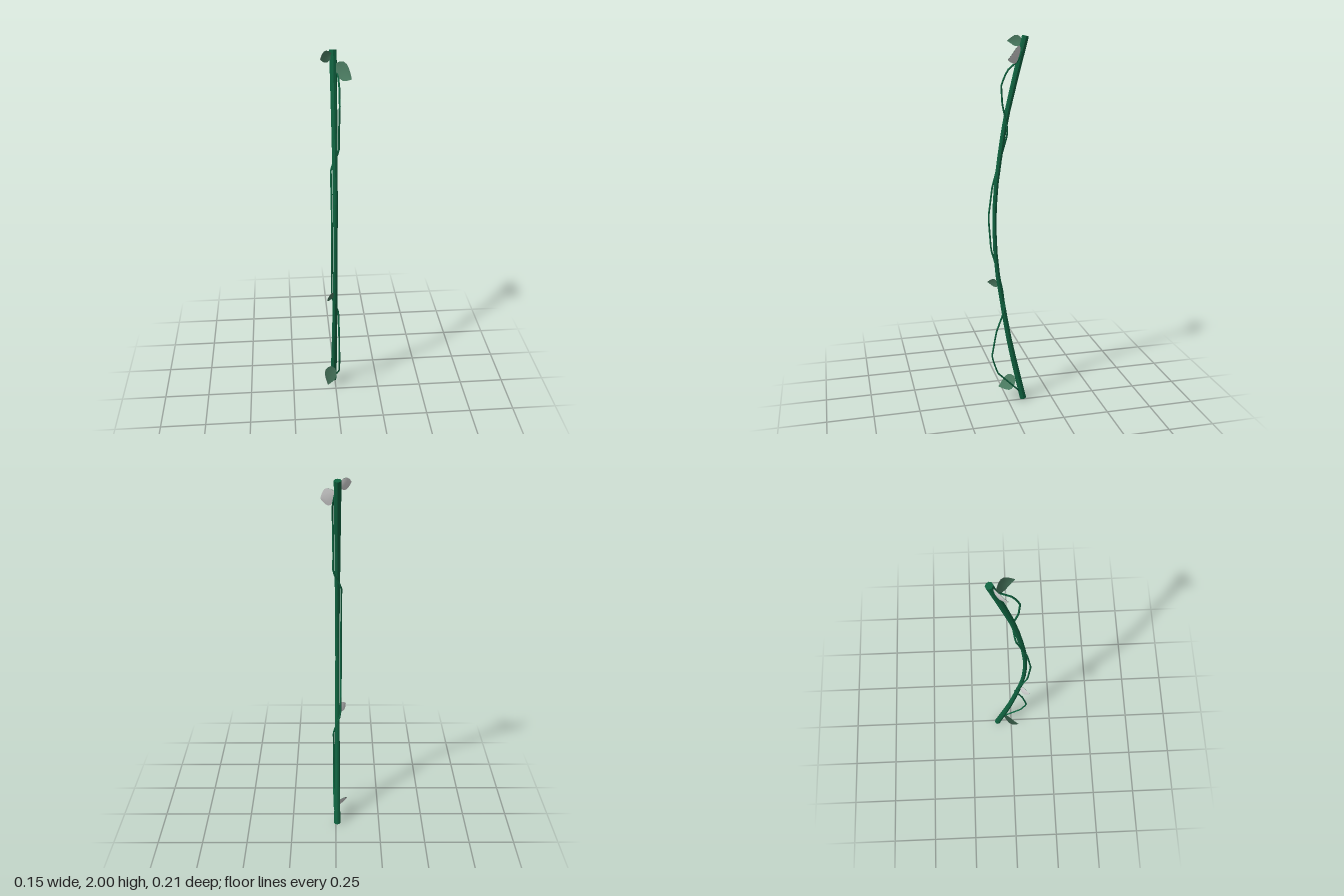
import * as THREE from 'three';

const stemMat = new THREE.MeshStandardMaterial({ color: 0x0f623f, flatShading: true, side: THREE.DoubleSide });
const leafMat = new THREE.MeshStandardMaterial({ color: 0x4a7a60, side: THREE.DoubleSide });
const leafBackMat = new THREE.MeshStandardMaterial({ color: 0xcccccc, side: THREE.DoubleSide });
const V = (p) => new THREE.Vector3(...p);

// Tube along a curve whose radius follows a rule, closed with end discs
function taperedTube(name, curve, segments, sides, radius) {
  const group = new THREE.Group();
  group.name = name;
  const geo = new THREE.TubeGeometry(curve, segments, 1, sides);
  const pos = geo.attributes.position;
  const p = new THREE.Vector3();
  for (let i = 0; i <= segments; i++) {
    const centre = curve.getPointAt(i / segments);
    for (let j = 0; j <= sides; j++) {
      const k = i * (sides + 1) + j;
      p.fromBufferAttribute(pos, k).sub(centre).multiplyScalar(radius(i / segments)).add(centre);
      pos.setXYZ(k, p.x, p.y, p.z);
    }
  }
  geo.computeVertexNormals();
  const tube = new THREE.Mesh(geo, stemMat);
  tube.name = name + 'Body';
  group.add(tube);
  for (const t of [0, 1]) {
    const cap = new THREE.Mesh(new THREE.CircleGeometry(radius(t), sides), stemMat);
    cap.name = name + 'End';
    cap.position.copy(curve.getPointAt(t));
    cap.lookAt(curve.getPointAt(t).addScaledVector(curve.getTangentAt(t), t ? 1 : -1));
    group.add(cap);
  }
  return group;
}

// One face of a cupped leaf running from base to tip; side is its half width.
// The underside sits just below the upper face and is wound the other way.
function leafFace(base, tip, side, bulge, underside) {
  const widths = [0.35, 0.8, 1, 0.97, 0.72, 0.38, 0];
  const rows = widths.length, cols = 5;
  const along = tip.clone().sub(base);
  const normal = along.clone().cross(side).normalize();
  const drop = underside ? 0.0015 : 0;
  const pos = [], idx = [];
  for (let i = 0; i < rows; i++) {
    const u = i / (rows - 1);
    for (let j = 0; j < cols; j++) {
      const v = (j / (cols - 1)) * 2 - 1;
      const p = base.clone().addScaledVector(along, u).addScaledVector(side, v * widths[i])
        .addScaledVector(normal, -drop - bulge * (4 * u * (1 - u) - 0.3 * v * v * widths[i]));
      pos.push(p.x, p.y, p.z);
      if (i < rows - 1 && j < cols - 1) {
        const a = i * cols + j, b = a + 1, c = a + cols, d = c + 1;
        if (underside) idx.push(a, b, c, b, d, c);
        else idx.push(a, c, b, b, c, d);
      }
    }
  }
  const geo = new THREE.BufferGeometry();
  geo.setAttribute('position', new THREE.Float32BufferAttribute(pos, 3));
  geo.setIndex(idx);
  geo.computeVertexNormals();
  return geo;
}

function leaf(name, base, tip, side, bulge) {
  const group = new THREE.Group();
  group.name = name;
  [leafMat, leafBackMat].forEach((mat, i) => {
    const mesh = new THREE.Mesh(leafFace(V(base), V(tip), V(side), bulge, i === 1), mat);
    mesh.name = name + (i ? 'Underside' : 'Upper');
    group.add(mesh);
  });
  return group;
}

export function createModel() {
  const model = new THREE.Group();
  model.name = 'vineBow';

  // Main bowed stem, thicker at the ends
  const stemCurve = new THREE.CatmullRomCurve3([
    [0.003, -0.088], [0.2, -0.043], [0.4, -0.001], [0.6, 0.032], [0.8, 0.062], [1.0, 0.073],
    [1.2, 0.067], [1.4, 0.042], [1.6, 0.008], [1.8, -0.04], [1.997, -0.09],
  ].map(([y, z]) => new THREE.Vector3(-0.008, y, z)));
  model.add(taperedTube('stem', stemCurve, 16, 8,
    (t) => 0.011 + 0.007 * Math.pow(Math.abs(2 * t - 1), 1.2)));

  // Thin vine winding around the stem in straight runs, crossing behind it twice
  const vinePath = new THREE.CurvePath();
  const pts = [
    [-0.01, 0.015, -0.1], [0.008, 0.08, -0.04], [0.013, 0.185, 0.064], [0.013, 0.285, 0.096], [0.012, 0.43, 0.07],
    [0.013, 0.56, 0.022], [-0.025, 0.665, 0.028], [-0.027, 0.76, 0.05], [-0.028, 0.89, 0.088],
    [-0.028, 1.07, 0.101], [-0.028, 1.23, 0.08], [-0.028, 1.34, 0.05], [-0.028, 1.43, 0.02],
    [0.014, 1.515, 0.007], [0.013, 1.57, 0.012], [0.013, 1.66, 0.034], [0.015, 1.76, 0.04], [0.016, 1.83, 0.01],
    [0.014, 1.88, -0.05], [0, 1.95, -0.076],
  ].map(V);
  for (let i = 0; i < pts.length - 1; i++) vinePath.add(new THREE.LineCurve3(pts[i], pts[i + 1]));
  model.add(taperedTube('vine', vinePath, 72, 6, () => 0.0047));

  // Leaves
  model.add(leaf('topRightLeaf', [-0.015, 1.974, -0.073], [-0.073, 1.972, -0.01], [0.002, -0.028, -0.001], 0.011));
  model.add(leaf('topLeftLeaf', [0.003, 1.925, -0.06], [0.073, 1.884, 0.021], [0.009, 0.041, -0.003], 0.013));
  model.add(leaf('middleLeaf', [-0.014, 0.695, 0.052], [-0.055, 0.7, 0.105], [-0.007, -0.025, -0.003], 0.008));
  model.add(leaf('bottomLeaf', [-0.012, 0.125, -0.042], [-0.05, 0.068, 0.046], [0.031, -0.031, -0.003], 0.01));
  return model;
}
